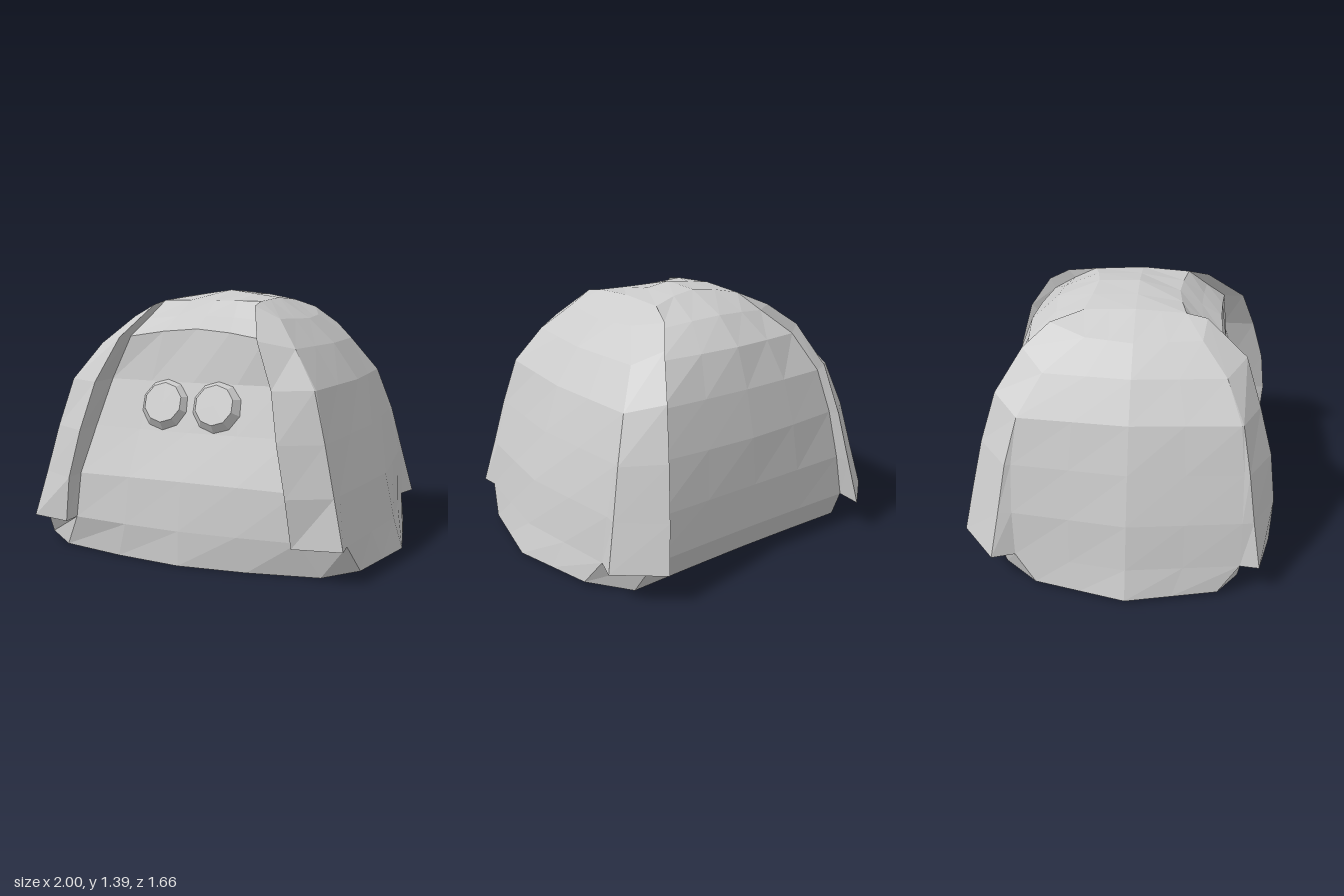
import * as THREE from 'three';

const material = new THREE.MeshStandardMaterial({ color: 0xcccccc, flatShading: true, side: THREE.DoubleSide });

// Each corner station from ground to crown: panel edge F, rib inner edge I,
// rib outer edge O, side panel edge S (x y z each)
const FRONT = [
  [0.73, 0, 0.66, 0.73, 0, 0.66, 0.90, 0.025, 0.55, 0.90, 0.025, 0.55],
  [0.63, 0.18, 0.72, 0.63, 0.18, 0.82, 0.87, 0.175, 0.76, 0.86, 0.175, 0.66],
  [0.61, 0.42, 0.70, 0.60, 0.42, 0.83, 0.81, 0.42, 0.72, 0.82, 0.42, 0.66],
  [0.555, 0.67, 0.62, 0.545, 0.67, 0.80, 0.75, 0.67, 0.685, 0.75, 0.67, 0.655],
  [0.49, 0.92, 0.55, 0.49, 0.92, 0.73, 0.68, 0.92, 0.64, 0.685, 0.92, 0.63],
  [0.38, 1.15, 0.54, 0.385, 1.15, 0.65, 0.55, 1.11, 0.55, 0.55, 1.11, 0.55],
  [0.33, 1.24, 0.435, 0.29, 1.315, 0.44, 0.42, 1.25, 0.42, 0.42, 1.25, 0.42],
  [0.28, 1.335, 0.33, 0.28, 1.335, 0.33, 0.28, 1.335, 0.33, 0.28, 1.335, 0.33],
];
const BACK = [
  [0.72, 0, -0.60, 0.72, 0, -0.60, 0.90, 0.025, -0.41, 0.90, 0.025, -0.41],
  [0.67, 0.18, -0.70, 0.67, 0.17, -0.83, 0.90, 0.17, -0.64, 0.86, 0.17, -0.52],
  [0.63, 0.42, -0.69, 0.63, 0.42, -0.78, 0.84, 0.42, -0.60, 0.83, 0.42, -0.53],
  [0.59, 0.69, -0.65, 0.59, 0.70, -0.72, 0.78, 0.68, -0.56, 0.77, 0.68, -0.53],
  [0.54, 0.93, -0.59, 0.54, 0.97, -0.64, 0.70, 0.92, -0.50, 0.70, 0.92, -0.50],
  [0.45, 1.13, -0.47, 0.45, 1.19, -0.50, 0.57, 1.11, -0.38, 0.57, 1.11, -0.38],
  [0.34, 1.25, -0.33, 0.35, 1.29, -0.37, 0.43, 1.25, -0.18, 0.43, 1.25, -0.18],
  [0.28, 1.335, -0.20, 0.28, 1.335, -0.20, 0.28, 1.335, -0.20, 0.28, 1.335, -0.20],
];
// Centre lines of the front, back (y z) and side (x y) panels
const FRONT_MID = [[0, 0.77], [0.18, 0.765], [0.43, 0.73], [0.67, 0.645], [0.92, 0.57], [1.195, 0.52], [1.26, 0.41], [1.337, 0.29]];
const BACK_MID = [[0.01, -0.60], [0.18, -0.69], [0.42, -0.69], [0.68, -0.67], [0.93, -0.61], [1.14, -0.53], [1.28, -0.38], [1.38, -0.15]];
const SIDE_MID = [[1, 0.015], [0.95, 0.18], [0.90, 0.42], [0.82, 0.68], [0.735, 0.92], [0.60, 1.11], [0.46, 1.24], [0.285, 1.35]];

const flip = ([x, y, z]) => [-x, y, z];
const lerp = (a, b, t) => a.map((v, i) => v + (b[i] - v) * t);
const points = (s) => [0, 3, 6, 9].map((i) => s.slice(i, i + 3));

// Surface through rows of points, left to right and bottom to top seen from outside
function grid(rows) {
  const n = rows[0].length;
  const index = [];
  for (let i = 0; i < rows.length - 1; i++) {
    for (let j = 0; j < n - 1; j++) {
      const a = i * n + j, c = a + n;
      index.push(a, a + 1, c + 1, a, c + 1, c);
    }
  }
  const indexed = new THREE.BufferGeometry();
  indexed.setAttribute('position', new THREE.Float32BufferAttribute(rows.flat(2), 3));
  indexed.setIndex(index);
  const g = indexed.toNonIndexed();
  g.computeVertexNormals();
  return g;
}

// Row across a front or back panel, bulging towards its centre line
function panelRow(station, [y, z]) {
  const edge = station.slice(0, 3), mid = [0, y, z];
  const quarter = lerp(mid, edge, 0.35);
  quarter[0] = edge[0] / 2;
  return [flip(edge), flip(quarter), mid, quarter, edge];
}

// Row along the +x side panel, front to back
function sideRow(i) {
  const front = points(FRONT[i])[3], back = points(BACK[i])[3];
  const mid = [...SIDE_MID[i], 0.07];
  return [front, lerp(front, mid, 0.5), mid, lerp(mid, back, 0.5), back];
}

export function createModel() {
  const group = new THREE.Group();
  group.name = 'domeShelter';
  const add = (name, geometry) => {
    const m = new THREE.Mesh(geometry, material);
    m.name = name;
    group.add(m);
    return m;
  };

  // Front panel with sloping hood, back panel with tucked-in hem
  const frontRows = FRONT.map((s, i) => panelRow(s, FRONT_MID[i]));
  const backRows = BACK.map((s, i) => panelRow(s, BACK_MID[i]));
  add('frontPanel', grid(frontRows));
  add('backPanel', grid(backRows.map((r) => [...r].reverse())));

  // Crown strip joining front and back
  const ridge = [-1, -0.5, 0, 0.5, 1].map((t) => [t * 0.285, 1.39 - 0.04 * Math.abs(t), 0.07]);
  add('crown', grid([frontRows[7], ridge, backRows[7]]));

  for (const side of [1, -1]) {
    const label = side > 0 ? 'Left' : 'Right';
    // Mirrored rows are reversed so that faces still look outwards
    const mirror = (rows) => (side > 0 ? rows : rows.map((r) => r.map(flip).reverse()));
    add(`side${label}Panel`, grid(mirror(SIDE_MID.map((_, i) => sideRow(i)))));

    for (const [name, stations] of [['front', FRONT], ['back', BACK]]) {
      const orient = (rows) => mirror(name === 'front' ? rows : rows.map((r) => [...r].reverse()));
      const sections = stations.map(points);
      const [f, , , s] = sections[1];
      // Raised corner rib, its flat foot and the bevelled skirt below it
      add(`${name}${label}Rib`, grid(orient(sections.slice(1))));
      add(`${name}${label}RibFoot`, grid(orient([[f, s], [sections[1][1], sections[1][2]]])));
      add(`${name}${label}Skirt`, grid(orient([[sections[0][0], sections[0][3]], [f, s]])));
    }

    // Bevelled round stud on the front panel
    const profile = [[0, -0.07], [0.11, -0.07], [0.142, 0], [0.105, 0.045], [0, 0.045]]
      .map(([r, h]) => new THREE.Vector2(r, h));
    const stud = add(`stud${label}`, new THREE.LatheGeometry(profile, 10));
    stud.position.set(side * 0.145, 0.805, 0.59);
    stud.rotation.x = Math.PI / 2 - 0.33;
  }

  return group;
}
